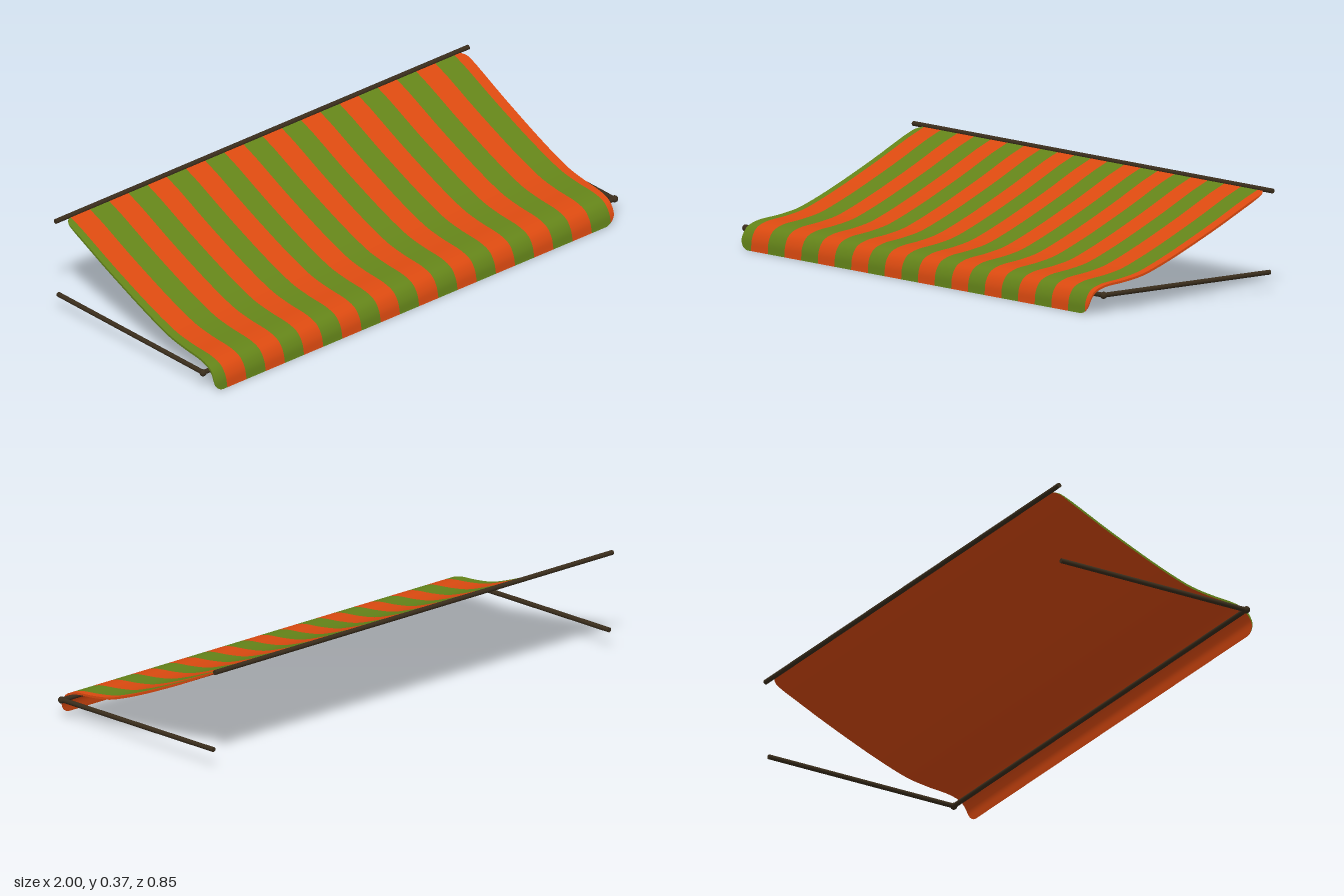
import * as THREE from 'three';

const ROWS = 64, CORNER = 0.045;
const ORANGE = new THREE.MeshStandardMaterial({ color: 0xdc4a10 });
const GREEN = new THREE.MeshStandardMaterial({ color: 0x648419 });
const DARK = new THREE.MeshStandardMaterial({ color: 0x3a2d1c });

// Slope of the cloth from the wall bar, over the front bar and down the valance
const profile = new THREE.CatmullRomCurve3([
  [-0.414, 0.364], [-0.3, 0.311], [-0.2, 0.264], [-0.1, 0.22], [0, 0.178], [0.1, 0.14],
  [0.17, 0.118], [0.25, 0.105], [0.35, 0.094], [0.393, 0.077], [0.416, 0.044], [0.425, 0],
].map(([z, y]) => new THREE.Vector3(0, y, z)), false, 'centripetal');
const LENGTH = profile.getLength();

// Side inset that rounds the corners of the cloth
function inset(t) {
  const d = Math.min(t, 1 - t) * LENGTH;
  return d < CORNER ? CORNER - Math.sqrt(CORNER ** 2 - (CORNER - d) ** 2) : 0;
}
const leftLimit = t => -0.953 - 0.017 * t ** 6 + inset(t);
const rightLimit = t => 0.963 - 0.013 * t + -inset(t);

// Point on the cloth; side is +1 for the upper skin and -1 for the underside
function clothPoint(t, x, side) {
  const p = profile.getPointAt(t), d = profile.getTangentAt(t);
  const half = 0.004 * Math.min(1, Math.min(t, 1 - t) * 12) * side;
  return [x, p.y + d.z * half, p.z - d.y * half];
}

// Ribbon between two edge lines that run from back to front
function ribbon(name, edgeA, edgeB, material) {
  const pos = [], index = [];
  for (let i = 0; i <= ROWS; i++) {
    const t = (1 - Math.cos(Math.PI * i / ROWS)) / 2;
    pos.push(...edgeA(t), ...edgeB(t));
    if (i < ROWS) {
      const a = i * 2;
      index.push(a, a + 2, a + 1, a + 1, a + 2, a + 3);
    }
  }
  const geo = new THREE.BufferGeometry();
  geo.setAttribute('position', new THREE.Float32BufferAttribute(pos, 3));
  geo.setIndex(index);
  geo.computeVertexNormals();
  const mesh = new THREE.Mesh(geo, material);
  mesh.name = name;
  return mesh;
}

// Round bar between two points
function bar(name, from, to, radius) {
  const a = new THREE.Vector3(...from), b = new THREE.Vector3(...to);
  const mesh = new THREE.Mesh(new THREE.CylinderGeometry(radius, radius, a.distanceTo(b), 16), DARK);
  mesh.position.copy(a).lerp(b, 0.5);
  mesh.quaternion.setFromUnitVectors(new THREE.Vector3(0, 1, 0), b.sub(a).normalize());
  mesh.name = name;
  return mesh;
}

export function createModel() {
  const model = new THREE.Group();
  model.name = 'awning';

  // Striped upper skin
  const cloth = new THREE.Group();
  cloth.name = 'cloth';
  const stripeEdge = k => t => clothPoint(t, THREE.MathUtils.clamp(
    -1.015 + 0.092 * k + 0.015 * t ** 4, leftLimit(t), rightLimit(t)), 1);
  for (let k = 0; k < 22; k++)
    cloth.add(ribbon('stripe', stripeEdge(k), stripeEdge(k + 1), k % 2 ? ORANGE : GREEN));

  // Plain underside and the thin side hems
  const edge = (limit, side) => t => clothPoint(t, limit(t), side);
  cloth.add(ribbon('underside', edge(rightLimit, -1), edge(leftLimit, -1), ORANGE));
  cloth.add(ribbon('rightHem', edge(leftLimit, -1), edge(leftLimit, 1), GREEN));
  cloth.add(ribbon('leftHem', edge(rightLimit, 1), edge(rightLimit, -1), ORANGE));
  model.add(cloth);

  // Frame: wall bar, front bar, and an arm with a round joint on each side
  model.add(bar('wallBar', [-0.99, 0.365, -0.415], [0.99, 0.365, -0.415], 0.009));
  model.add(bar('frontBar', [-0.987, 0.07, 0.381], [0.987, 0.07, 0.381], 0.009));
  for (const s of [-1, 1]) {
    model.add(bar('arm', [s * 0.985, 0.07, 0.381], [s * 0.985, 0.07, -0.405], 0.009));
    const joint = new THREE.Mesh(new THREE.SphereGeometry(0.013, 16, 12), DARK);
    joint.position.set(s * 0.987, 0.07, 0.382);
    joint.name = 'armJoint';
    model.add(joint);
  }
  return model;
}
